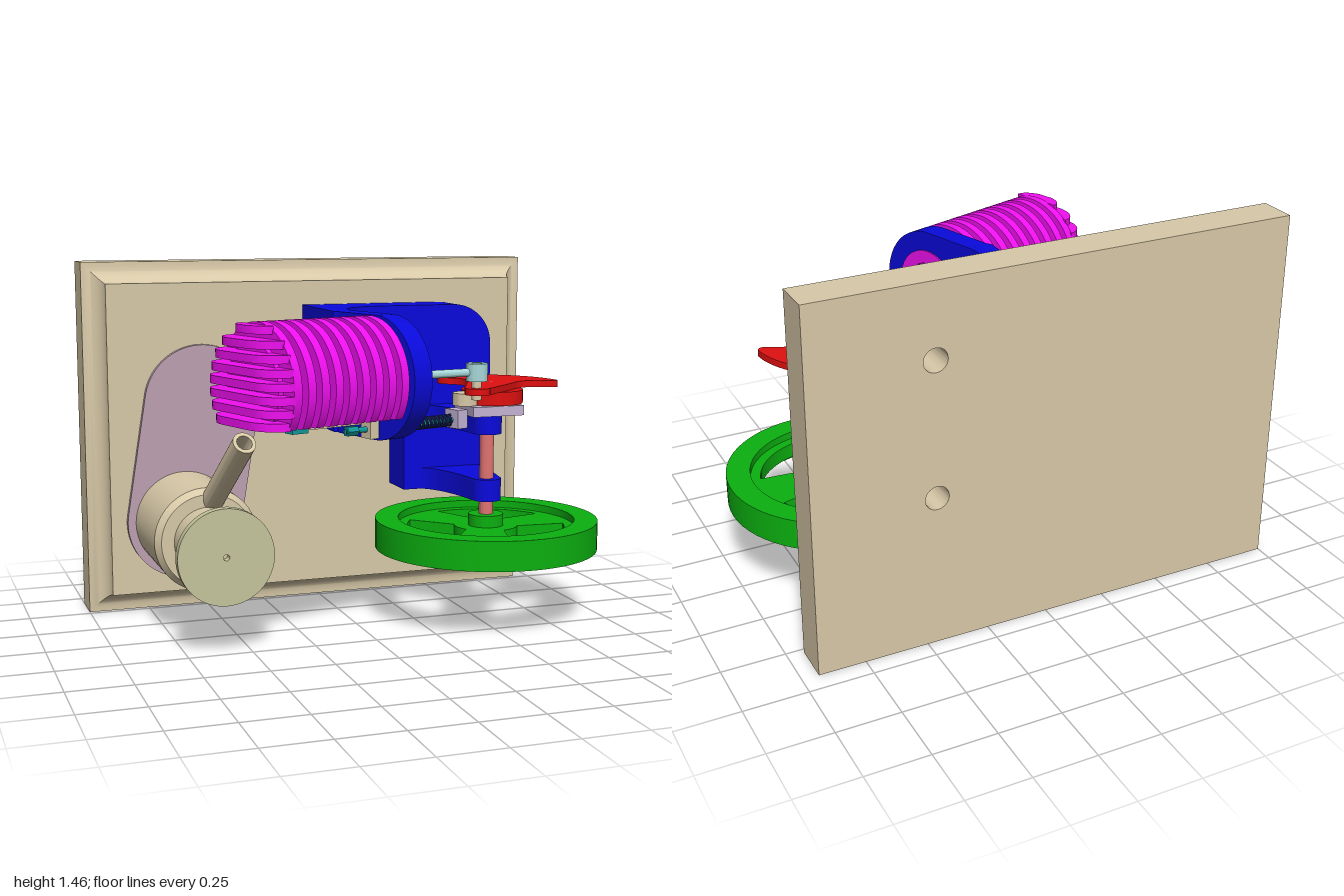
import * as THREE from 'three';
import { toCreasedNormals } from 'three/addons/utils/BufferGeometryUtils.js';

const V = (x, y, z) => new THREE.Vector3(x, y, z);
const mat = (color) => new THREE.MeshStandardMaterial({ color, side: THREE.DoubleSide });
const TAN = mat(0xd8c9a8), BLUE = mat(0x0a0adc), MAGENTA = mat(0xf010f0), GREEN = mat(0x0cb010),
  RED = mat(0xe01010), SALMON = mat(0xe07272), MAUVE = mat(0xbca0b0), ICE = mat(0xa8d8da),
  OLIVE = mat(0xc4c49c), YELLOW = mat(0xc0a010), TEAL = mat(0x129a9a), NAVY = mat(0x1a2460), LILAC = mat(0xc4b4d4);

function add(parent, name, geo, material, x = 0, y = 0, z = 0) {
  const m = new THREE.Mesh(toCreasedNormals(geo, 0.6), material);
  m.name = name;
  m.position.set(x, y, z);
  parent.add(m);
  return m;
}
const box = (w, h, d) => new THREE.BoxGeometry(w, h, d);
const cyl = (r, h, n = 40) => new THREE.CylinderGeometry(r, r, h, n);
const lathe = (pts, n = 64) => new THREE.LatheGeometry(pts.map(p => new THREE.Vector2(...p)), n);
// closed ring between two radii and two heights
const ring = (ri, ro, a, b) => lathe([[ri, a], [ro, a], [ro, b], [ri, b], [ri, a]]);
const extrude = (shape, depth) => new THREE.ExtrudeGeometry(shape, { depth, bevelEnabled: false, curveSegments: 24 });
// plan outline drawn as (x, -z), raised along y
const slab = (shape, h) => extrude(shape, h).rotateX(-Math.PI / 2);
const poly = (pts) => new THREE.Shape(pts.map(p => new THREE.Vector2(...p)));
const disc = (x, y, r) => new THREE.Path().absarc(x, y, r, 0, Math.PI * 2, true);
function rod(parent, name, a, b, r, material) {
  return add(parent, name, new THREE.TubeGeometry(new THREE.LineCurve3(a, b), 1, r, 20), material);
}

function buildBoard(g) {
  const w = 1.935, h = 1.455, r = 0.085, cx = -0.0325;
  const s = poly([[-w / 2, 0], [w / 2, 0], [w / 2, h], [-w / 2, h]]);
  for (const y of [0.617, 1.16]) s.holes.push(disc(0.455 - cx, y, 0.047));
  add(g, 'backBoard', extrude(s, 0.155), TAN, cx, 0, -0.675);
  // cove moulding: inset follows a hollow quarter circle
  const cove = new THREE.BoxGeometry(w, h, r, 1, 1, 10), p = cove.attributes.position;
  for (let i = 0; i < p.count; i++) {
    const a = (p.getZ(i) / r + 0.5) * Math.PI / 2, inset = r * Math.sin(a);
    p.setXYZ(i, p.getX(i) * (1 - 2 * inset / w), p.getY(i) * (1 - 2 * inset / h), r * (1 - Math.cos(a)));
  }
  add(g, 'coveMoulding', cove, TAN, cx, h / 2, -0.52);
}

function buildBurner(g) {
  const x = -0.61, y = 0.387;
  // mounting plate: two round ends joined by straight sides
  const s = new THREE.Shape();
  s.absarc(0.08, 0.49, 0.24, -0.16, Math.PI - 0.16, false);
  s.absarc(0, 0, 0.24, Math.PI - 0.16, 2 * Math.PI - 0.16, false);
  add(g, 'burnerPlate', extrude(s, 0.025), MAUVE, x, y, -0.436);
  const body = lathe([[0, -0.43], [0.207, -0.43], [0.207, -0.03], [0.185, 0], [0.135, 0], [0.135, 0.26], [0, 0.26]]);
  add(g, 'burnerTank', body.rotateX(Math.PI / 2), TAN, x, y, 0);
  add(g, 'burnerCap', lathe([[0.012, 0.258], [0.186, 0.258], [0.186, 0.297], [0.012, 0.297], [0.012, 0.258]])
    .rotateX(Math.PI / 2), OLIVE, x, y, 0);
  // hollow spout
  const a = V(-0.59, 0.52, -0.05), b = V(-0.535, 0.815, 0.29);
  const spout = add(g, 'burnerSpout', ring(0.03, 0.045, 0, a.distanceTo(b)), TAN, a.x, a.y, a.z);
  spout.quaternion.setFromUnitVectors(V(0, 1, 0), b.clone().sub(a).normalize());
}

function buildBracket(g) {
  // back plate with one rounded upper corner
  const s = new THREE.Shape().moveTo(-0.09, 0.8).lineTo(0.3, 0.8).lineTo(0.3, 0.49).lineTo(0.69, 0.49).lineTo(0.69, 1.1);
  s.absarc(0.52, 1.1, 0.17, 0, Math.PI / 2, false);
  s.lineTo(-0.09, 1.27);
  add(g, 'bracketBackPlate', extrude(s, 0.18), BLUE, 0, 0, -0.436);
  // side wall, filleted into the back plate
  const side = new THREE.Shape().moveTo(-0.09, 0.43).lineTo(-0.09, 0.02).lineTo(-0.076, 0).lineTo(0.005, 0.025);
  side.bezierCurveTo(-0.03, 0.15, 0.06, 0.256, 0.22, 0.256);
  side.lineTo(0.22, 0.43);
  add(g, 'bracketSideWall', slab(side, 0.479), BLUE, 0, 0.791, 0);
  // two bearing arms
  for (const [y, h] of [[0.49, 0.09], [0.765, 0.085]]) {
    const arm = new THREE.Shape().moveTo(0.3, 0.3).lineTo(0.38, 0.255);
    arm.quadraticCurveTo(0.46, 0.2, 0.485, -0.05);
    arm.absarc(0.545, -0.05, 0.06, Math.PI, Math.PI * 2, false);
    arm.lineTo(0.66, 0.255).lineTo(0.69, 0.3);
    add(g, 'bearingArm', slab(arm, h), BLUE, 0, y, 0);
  }
}

// cylinder assembly; local x runs along the bore toward the crankshaft
function buildCylinder(e) {
  const Y = 1.03, turn = -Math.PI / 2;
  const f = new THREE.Shape().moveTo(0.24, -0.24).lineTo(0.24, 0.24).lineTo(0, 0.24);
  f.absarc(0, 0, 0.24, Math.PI / 2, Math.PI * 1.5, false);
  f.holes.push(disc(0, 0, 0.16));
  add(e, 'cylinderFlange', extrude(f, 0.085).rotateY(Math.PI / 2), BLUE, -0.575, Y, 0);
  add(e, 'cylinderSleeve', ring(0.11, 0.163, -0.6, -0.485).rotateZ(turn), MAGENTA, 0, Y, 0);
  // cooling fins, flattened underneath
  const pts = [[0, -1.135], [0.17, -1.135], [0.17, -1.115]], n = 9;
  for (let i = n; i > 0; i--) {
    const a = -0.575 - i * 0.06;
    pts.push([0.24, a], [0.24, a + 0.034], [0.185, a + 0.034], [0.185, a + 0.06]);
  }
  pts.push([0.11, -0.575], [0.11, -1.0], [0, -1.0]);
  const geo = lathe(pts, 96).rotateZ(turn), p = geo.attributes.position;
  for (let i = 0; i < p.count; i++) p.setY(i, Math.max(p.getY(i), -0.135));
  add(e, 'finnedCylinder', geo, MAGENTA, 0, Y, 0);
  // head fins: stacked slices of a round-edged head
  for (let i = 0; i < 8; i++) {
    const dy = -0.12 + i * 0.048, half = [];
    for (let k = 0; k <= 12; k++) {
      const a = k / 12 * Math.PI / 2, R = 0.14 + 0.1 * Math.cos(a);
      if (R > Math.abs(dy)) half.push([-1.11 - 0.1 * Math.sin(a), Math.sqrt(R * R - dy * dy)]);
    }
    const outline = half.concat(half.map(([x, z]) => [x, -z]).reverse());
    add(e, 'headFin', slab(poly(outline), 0.03), MAGENTA, 0, Y + dy - 0.015, 0);
  }
  add(e, 'piston', lathe([[0, -0.83], [0.105, -0.83], [0.105, -0.64], [0.085, -0.64], [0.085, -0.8], [0, -0.8]])
    .rotateZ(turn), YELLOW, 0, Y, 0);
  // valve rod with spring, nut and guide
  rod(e, 'valveRod', V(-0.72, 0.835, 0), V(-0.14, 0.835, 0), 0.011, TEAL);
  add(e, 'valveNut', cyl(0.02, 0.05, 6).rotateZ(turn), TEAL, -0.69, 0.835, 0);
  const coil = Array.from({ length: 169 }, (_, i) => {
    const a = i / 12 * Math.PI * 2;
    return V(-0.475 + 0.28 * i / 168, 0.835 + 0.02 * Math.cos(a), 0.02 * Math.sin(a));
  });
  add(e, 'valveSpring', new THREE.TubeGeometry(new THREE.CatmullRomCurve3(coil), 280, 0.006, 6), NAVY);
  add(e, 'valveGuide', box(0.05, 0.075, 0.08), LILAC, -0.165, 0.84, 0);
  add(e, 'valveFollower', cyl(0.05, 0.05), TAN, -0.12, 0.915, 0);
  add(e, 'valveLever', box(0.28, 0.03, 0.06), TAN, -0.82, 0.88, 0.02);
  add(e, 'valveStop', box(0.07, 0.035, 0.05), TEAL, -0.99, 0.88, 0.07);
  add(e, 'valveBlock', box(0.04, 0.08, 0.06), TAN, -0.6, 0.84, 0);
}

function buildCrank(g) {
  const cx = 0.545, cz = 0.05;
  add(g, 'crankshaft', cyl(0.029, 0.77), SALMON, cx, 0.588, cz);
  add(g, 'bearingPlate', box(0.22, 0.04, 0.2), LILAC, 0.55, 0.867, 0.055);
  add(g, 'cam', cyl(0.125, 0.055), RED, 0.57, 0.917, 0.04);
  // counterweight web with the crank pin at the narrow end
  const w = new THREE.Shape().moveTo(-0.155, -0.13);
  w.lineTo(-0.075, 0.03).quadraticCurveTo(-0.02, 0.13, -0.075, 0.185);
  w.quadraticCurveTo(-0.14, 0.23, -0.105, 0.285);
  w.bezierCurveTo(0.11, 0.33, 0.29, 0.17, 0.305, -0.02);
  w.quadraticCurveTo(0.29, -0.05, 0.25, -0.02);
  w.quadraticCurveTo(0.16, 0.03, 0.1, -0.04);
  w.lineTo(-0.07, -0.19);
  w.absarc(-0.113, -0.16, 0.05, -0.6, -3.7, true);
  add(g, 'crankWeb', slab(w, 0.027), RED, cx, 0.946, cz);
  const pin = V(0.43, 1.035, 0.205);
  add(g, 'crankPin', cyl(0.02, 0.13, 24), TAN, pin.x, 0.99, pin.z);
  add(g, 'rodBigEnd', ring(0.02, 0.043, -0.035, 0.035), ICE, pin.x, pin.y, pin.z);
  rod(g, 'connectingRod', V(pin.x - 0.035, 1.035, pin.z + 0.005), V(-0.2, 1.035, 0.295), 0.016, ICE);

  // flywheel with three openings
  const wheel = new THREE.Group();
  wheel.name = 'flywheel';
  wheel.position.set(cx, 0.355, cz);
  g.add(wheel);
  add(wheel, 'flywheelRim', ring(0.36, 0.455, -0.06, 0.06), GREEN);
  const web = new THREE.Shape().absarc(0, 0, 0.365, 0, Math.PI * 2, false);
  for (let i = 0; i < 3; i++) {
    const a = -0.96 + i * Math.PI * 2 / 3, hole = new THREE.Path();
    hole.absarc(0, 0, 0.32, a - 0.7, a + 0.7, false);
    hole.absarc(0, 0, 0.13, a + 0.42, a - 0.42, true);
    hole.closePath();
    web.holes.push(hole);
  }
  add(wheel, 'flywheelWeb', slab(web, 0.06), GREEN, 0, -0.03, 0);
  add(wheel, 'flywheelHub', cyl(0.072, 0.155), GREEN);
}

export function createModel() {
  const g = new THREE.Group();
  g.name = 'wallMountedHotAirEngine';
  buildBoard(g);
  buildBurner(g);
  buildBracket(g);
  buildCrank(g);
  const e = new THREE.Group();
  e.name = 'cylinderAssembly';
  e.position.set(0.545, 0, 0.05);
  e.rotation.y = 0.317;
  g.add(e);
  buildCylinder(e);
  return g;
}
